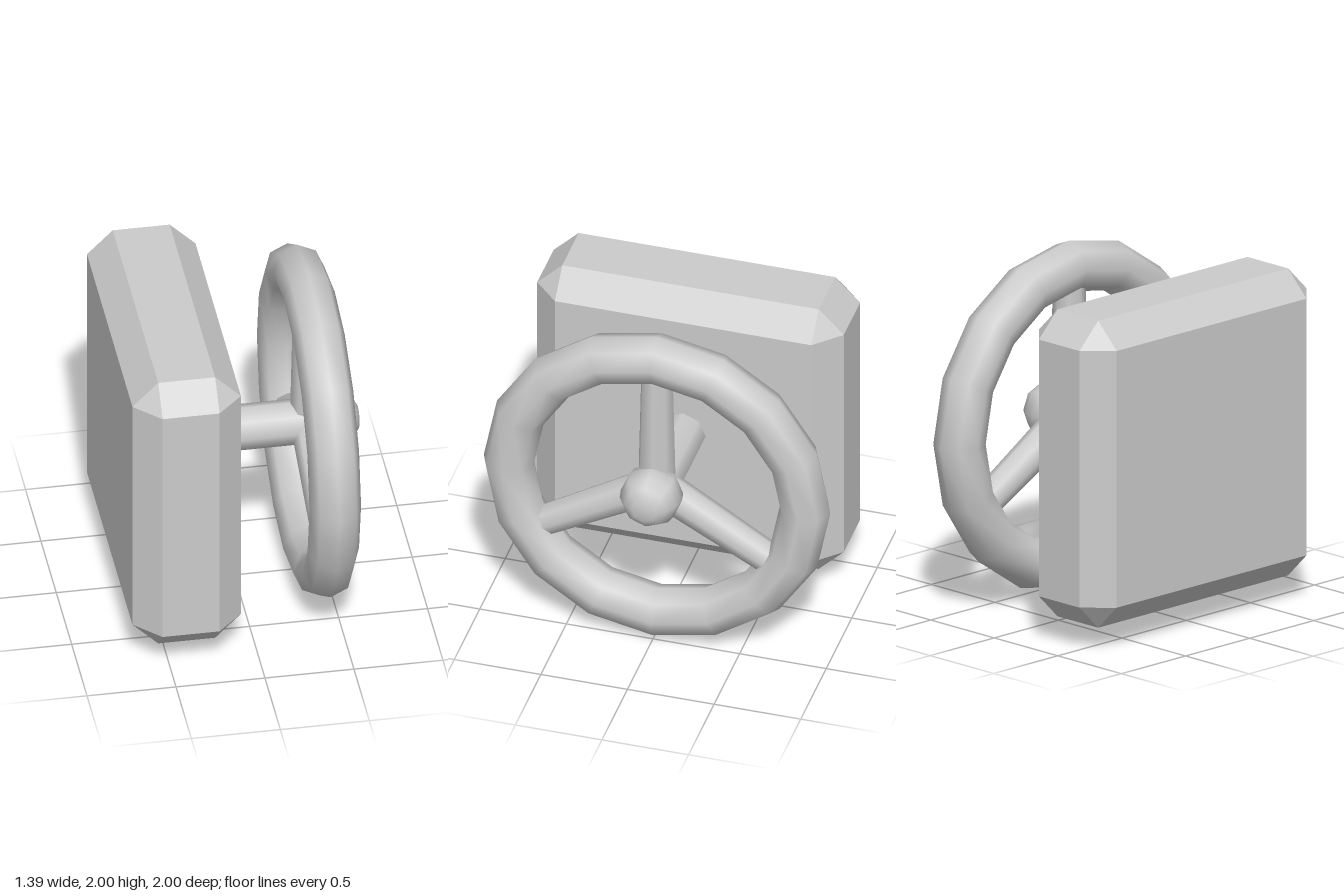
import * as THREE from 'three';
import { ConvexGeometry } from 'three/addons/geometries/ConvexGeometry.js';

const material = new THREE.MeshStandardMaterial({ color: 0xcccccc });

function part(name, geometry, x, y, parent) {
  const mesh = new THREE.Mesh(geometry, material);
  mesh.name = name;
  mesh.position.set(x, y, 0);
  parent.add(mesh);
  return mesh;
}

// Box with every edge cut at 45 degrees, leaving triangular corners
function chamferedBox(w, h, d, c) {
  const points = [];
  for (const sx of [-1, 1]) for (const sy of [-1, 1]) for (const sz of [-1, 1]) {
    const x = w / 2, y = h / 2, z = d / 2;
    points.push(new THREE.Vector3(sx * x, sy * (y - c), sz * (z - c)));
    points.push(new THREE.Vector3(sx * (x - c), sy * y, sz * (z - c)));
    points.push(new THREE.Vector3(sx * (x - c), sy * (y - c), sz * z));
  }
  return new ConvexGeometry(points);
}

export function createModel() {
  const model = new THREE.Group();
  model.name = 'valveWheel';
  const wheelX = 0.42;

  // Mounting block
  part('mountingBlock', chamferedBox(0.61, 1.77, 1.77, 0.145), -0.395, 1.005, model);

  // Shaft from the block into the hub
  const shaft = new THREE.CylinderGeometry(0.13, 0.13, 0.62, 8, 1).rotateZ(-Math.PI / 2);
  part('shaft', shaft, 0.2, 1, model);

  // Wheel rim
  part('rim', new THREE.TorusGeometry(0.855, 0.145, 8, 16).rotateY(Math.PI / 2), wheelX, 1, model);

  // Rounded hub with a blunt tip
  const r = 0.177;
  const profile = [new THREE.Vector2(0, -r * 0.924)];
  for (let i = 1; i <= 7; i++) {
    const a = (i * Math.PI) / 8;
    profile.push(new THREE.Vector2(r * Math.sin(a), -r * Math.cos(a)));
  }
  profile.push(new THREE.Vector2(0, r * 0.924));
  part('hub', new THREE.LatheGeometry(profile, 8).rotateZ(-Math.PI / 2), 0.53, 1, model);

  // Three tapered spokes
  for (let i = 0; i < 3; i++) {
    const spoke = new THREE.CylinderGeometry(0.09, 0.108, 0.78, 8, 1).translate(0, 0.39, 0);
    part('spoke' + (i + 1), spoke, wheelX, 1, model).rotation.x = (i * Math.PI * 2) / 3;
  }

  return model;
}
